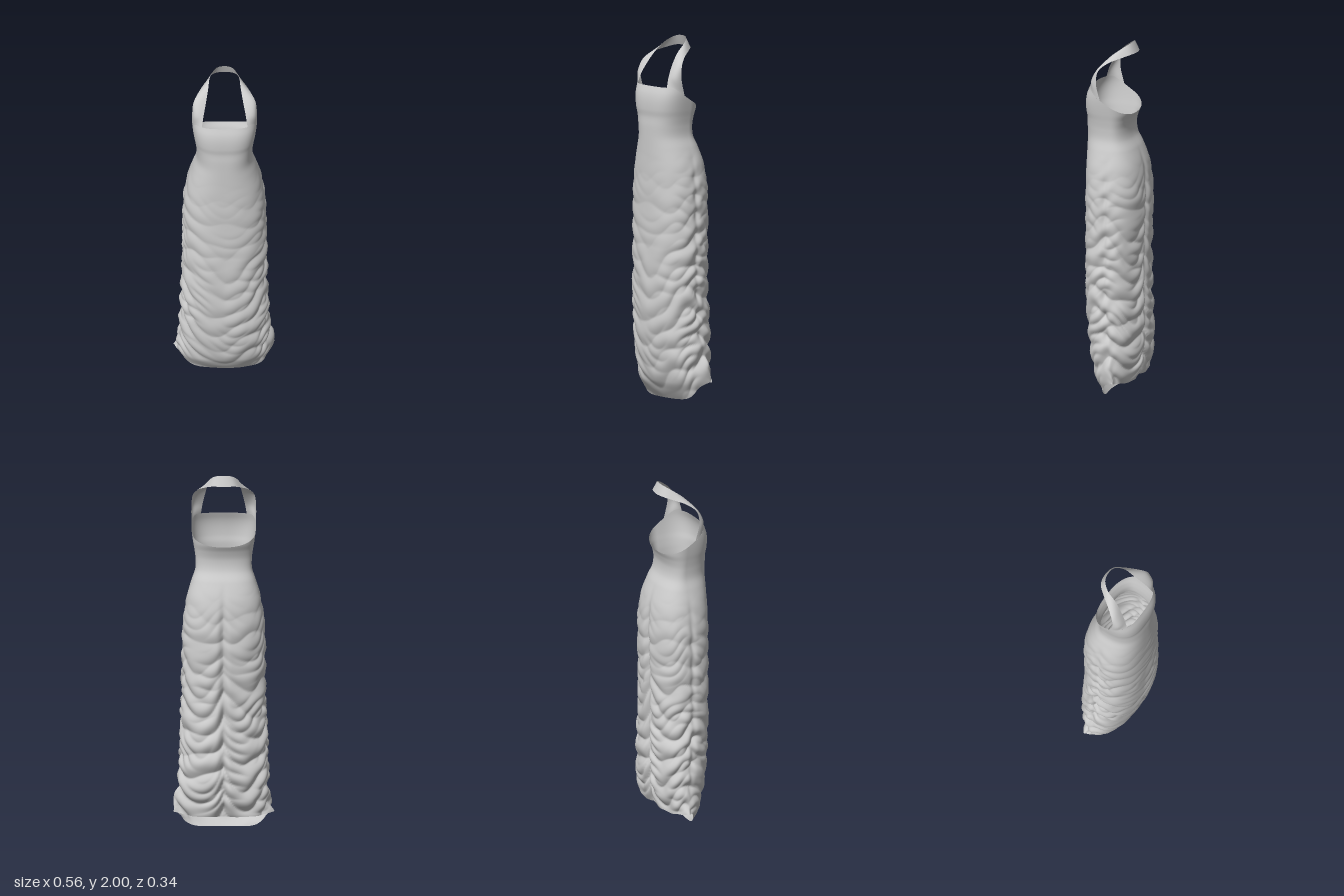
import * as THREE from 'three';

const { lerp, smoothstep } = THREE.MathUtils;

// Body profile: height, half width, front depth, back depth, depth of the side seam
const PROFILE = [
  [0.00, 0.248, 0.035, -0.085, -0.05],
  [0.05, 0.252, 0.070, -0.105, -0.05],
  [0.10, 0.253, 0.100, -0.125, -0.045],
  [0.20, 0.250, 0.126, -0.152, -0.03],
  [0.40, 0.243, 0.152, -0.160, -0.015],
  [0.60, 0.237, 0.163, -0.157, 0],
  [0.80, 0.232, 0.167, -0.158, 0],
  [1.00, 0.230, 0.168, -0.164, 0],
  [1.15, 0.226, 0.169, -0.167, 0],
  [1.30, 0.204, 0.169, -0.150, 0],
  [1.40, 0.175, 0.169, -0.114, 0],
  [1.46, 0.156, 0.169, -0.083, 0],
  [1.52, 0.155, 0.169, -0.076, 0],
  [1.57, 0.161, 0.167, -0.088, 0],
  [1.61, 0.168, 0.171, -0.106, 0],
  [1.66, 0.175, 0.170, -0.115, 0],
  [1.70, 0.179, 0.163, -0.120, 0],
  [1.74, 0.181, 0.148, -0.125, 0],
];

// Smooth (Hermite) lookup of one profile column at height y
function profile(y, col) {
  const P = PROFILE, last = P.length - 1;
  let i = 0;
  while (i < last - 1 && P[i + 1][0] < y) i++;
  const slope = (k) => {
    const a = P[Math.max(0, k - 1)], b = P[Math.min(last, k + 1)];
    return (b[col] - a[col]) / (b[0] - a[0]);
  };
  const h = P[i + 1][0] - P[i][0], t = (y - P[i][0]) / h;
  const t2 = t * t, t3 = t2 * t;
  return (2 * t3 - 3 * t2 + 1) * P[i][col] + (t3 - 2 * t2 + t) * h * slope(i)
    + (3 * t2 - 2 * t3) * P[i + 1][col] + (t3 - t2) * h * slope(i + 1);
}

// Radius of a rounded-box-like oval at an angle
const oval = (th, n) =>
  Math.pow(Math.abs(Math.cos(th)) ** n + Math.abs(Math.sin(th)) ** n, -1 / n);

// Top edge: straight neckline in front, sloping down to the back
function topEdge(th) {
  const s = Math.sin(th) * oval(th, s0(th));
  return Math.min(1.74, 1.665 + 0.65 * s * (s > 0 ? 0.16 : 0.1));
}

// Squareness of the bodice section: boxy bust, round back
const s0 = (th) => (Math.sin(th) > 0 ? 3 : 2.15);

// Hem: low in front, raised at the sides and back
function hemEdge(th) {
  const c = Math.abs(Math.cos(th));
  return Math.sin(th) > 0 ? 0.105 * c ** 6 : 0.085 + 0.02 * c ** 6;
}

// Gathered folds: swags hanging between the side seams and the back seam
function gathers(th, y) {
  const c = Math.cos(th), s = Math.sin(th), q = Math.abs(c);
  const low = 1 - smoothstep(y, 0.35, 1.35);
  const start = 1 - smoothstep(y, 1.1, 1.42);
  const back = smoothstep(-s, -0.1, 0.15);
  const sagFront = (0.05 + 0.15 * low) * (1 - q ** 1.5);
  const sagBack = (0.05 + 0.05 * low) * 4 * q * (1 - q);
  const phase = y + lerp(sagFront, sagBack, back);
  const wobble = 0.7 * Math.sin(3 * th + 5 * y) + 0.6 * Math.sin(5 * th - 9 * y + 1);
  const big = Math.abs(Math.sin(phase * 25 + wobble));
  const small = Math.abs(Math.sin(phase * 43 - 1.6 * wobble + 2 * c));
  const strength = lerp(0.4 + 0.6 * q * q, 0.95, back);
  const patch = 0.5 + 0.5 * Math.sin(4 * th + 13 * y + 2 * Math.sin(2 * th - 6 * y));
  const amp = start * (0.007 + 0.015 * low) * strength;
  let d = amp * (0.6 + 0.5 * patch) * (big - 0.65);
  d += amp * 0.6 * (1 - patch) * (small - 0.65);
  // puckered seams
  d -= start * 0.008 * Math.exp(-((s / 0.1) ** 2)) * smoothstep(y, 0.1, 0.4);
  if (s < 0) d -= start * 0.02 * Math.exp(-((c / 0.09) ** 2));
  // small ruffles beside the side seams
  d += start * 0.004 * Math.exp(-((s / 0.3) ** 2)) * Math.sin(58 * y + 9 * s + 2 * c);
  return d;
}

// Point of the dress surface
function surfacePoint(th, y) {
  const c = Math.cos(th), s = Math.sin(th);
  const n = lerp(lerp(2.1, 2.4, smoothstep(y, 0.02, 0.3)), s0(th), smoothstep(y, 1.4, 1.7));
  const r = oval(th, n);
  const z0 = profile(y, 4);
  const depth = s > 0 ? profile(y, 2) - z0 : z0 - profile(y, 3);
  const d = gathers(th, y) * lerp(0.4, 1, smoothstep(y, 0, 0.15));
  // corners of the hem kick outward at the side seams
  const side = Math.sign(c);
  const kick = (1 - smoothstep(y, 0.08, 0.26 + 0.06 * side))
    * Math.exp(-((s / 0.22) ** 2));
  return new THREE.Vector3(
    profile(y, 1) * r * c + d * c + 0.029 * kick * side, y,
    z0 + depth * r * s + d * s - (0.012 + 0.012 * side) * kick);
}

// Smooth sheet through a grid of points; columns may close into a ring
function sheet(rows, cols, closed, pointAt) {
  const pos = [], index = [];
  for (let j = 0; j < rows; j++)
    for (let i = 0; i < cols; i++) pos.push(...pointAt(i, j).toArray());
  for (let j = 0; j < rows - 1; j++) {
    for (let i = 0; i < (closed ? cols : cols - 1); i++) {
      const a = j * cols + i, b = j * cols + (i + 1) % cols;
      index.push(a, a + cols, b, b, a + cols, b + cols);
    }
  }
  const g = new THREE.BufferGeometry();
  g.setAttribute('position', new THREE.Float32BufferAttribute(pos, 3));
  g.setIndex(index);
  g.computeVertexNormals();
  return g;
}

// Halter strap: upper (inner) and lower (outer) edge on the left, up to the nape
const STRAP_INNER = [
  [0.116, 1.80, 0.108], [0.101, 1.87, 0.066], [0.089, 1.925, 0.02],
  [0.079, 1.965, -0.03], [0.045, 1.994, -0.073], [0, 2.0, -0.083],
];
const STRAP_OUTER = [
  [0.178, 1.79, 0.068], [0.170, 1.86, 0.058], [0.140, 1.90, 0.015],
  [0.100, 1.925, -0.045], [0.060, 1.941, -0.092], [0, 1.942, -0.106],
];

function strapLane(f) {
  const th = lerp(0.9, 0.27, f), bulge = 4 * f * (1 - f);
  const half = [surfacePoint(th, topEdge(th))];
  STRAP_INNER.forEach((a, k) => {
    const p = new THREE.Vector3(...a).lerp(new THREE.Vector3(...STRAP_OUTER[k]), f);
    const out = bulge * [0.014, 0.01, 0.006, 0.003, 0.001, 0][k];
    half.push(p.add(new THREE.Vector3(out, 0, out)));
  });
  const mirrored = half.slice(0, -1).reverse()
    .map((p) => new THREE.Vector3(-p.x, p.y, p.z));
  return new THREE.CatmullRomCurve3([...half, ...mirrored]);
}

export function createModel() {
  const group = new THREE.Group();
  group.name = 'halterDress';
  const cloth = new THREE.MeshStandardMaterial({ color: 0xcccccc, side: THREE.DoubleSide });
  const add = (name, geometry) => {
    const mesh = new THREE.Mesh(geometry, cloth);
    mesh.name = name;
    group.add(mesh);
  };

  // Bodice and gathered skirt in one piece of cloth
  const around = 180, up = 260;
  add('dressBody', sheet(up, around, true, (i, j) => {
    const th = (i / around) * Math.PI * 2;
    return surfacePoint(th, lerp(hemEdge(th), topEdge(th), j / (up - 1)));
  }));

  // Strap running from one side of the neckline around the neck to the other
  const lanes = 9, steps = 81;
  const curves = Array.from({ length: lanes }, (_, i) => strapLane(i / (lanes - 1)));
  add('halterStrap', sheet(steps, lanes, false,
    (i, j) => curves[i].getPoint(j / (steps - 1))));

  return group;
}
